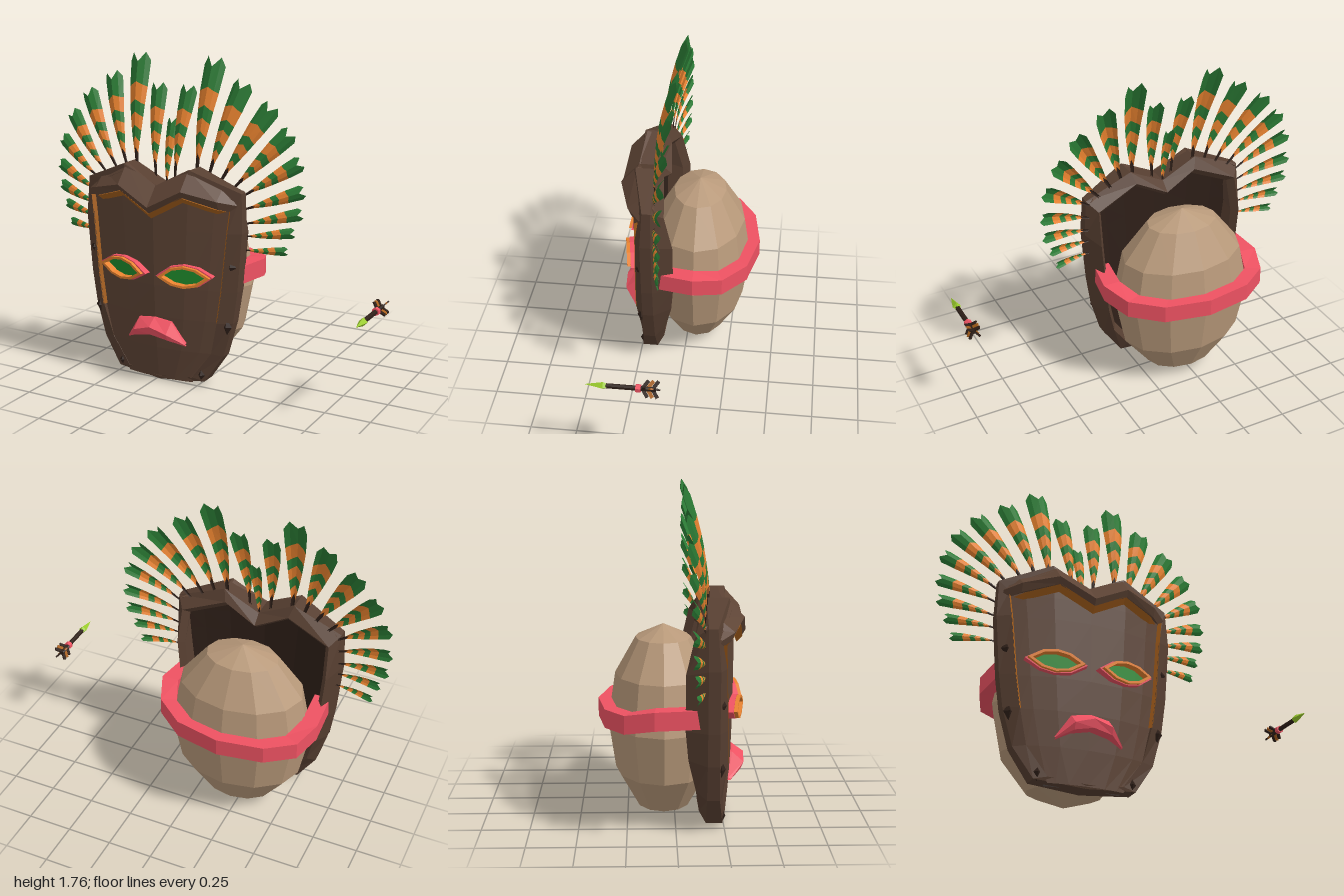
import * as THREE from 'three';

const mat = (color) => new THREE.MeshStandardMaterial({ color, flatShading: true, side: THREE.DoubleSide });
const M = {
  wood: mat(0x5e4435), rim: mat(0x573f31), dark: mat(0x2e1f18), green: mat(0x2a7a34), orange: mat(0xe8822f),
  paint: mat(0xa8601c), pink: mat(0xee5262), head: mat(0xb8997a), eye: mat(0x1f8a2c), lime: mat(0x9acb2c),
};

function add(parent, name, geo, material, x = 0, y = 0, z = 0) {
  const m = new THREE.Mesh(geo, material);
  m.name = name;
  m.position.set(x, y, z);
  parent.add(m);
  return m;
}

// Surface through rows of points; closeU joins each row's ends, closeV joins last row to first
function skin(rows, closeU = false, closeV = false) {
  const n = rows[0].length, idx = [];
  const R = rows.length - (closeV ? 0 : 1), C = n - (closeU ? 0 : 1);
  for (let i = 0; i < R; i++) for (let j = 0; j < C; j++) {
    const i2 = (i + 1) % rows.length, j2 = (j + 1) % n;
    const a = i * n + j, b = i * n + j2, c = i2 * n + j2, d = i2 * n + j;
    idx.push(a, b, c, a, c, d);
  }
  const g = new THREE.BufferGeometry();
  g.setAttribute('position', new THREE.Float32BufferAttribute(rows.flat(2), 3));
  g.setIndex(idx);
  const out = g.toNonIndexed();
  out.computeVertexNormals();
  return out;
}

// Piecewise-linear lookup
function lerpTable(t, table) {
  let k = 0;
  while (k < table.length - 2 && t > table[k + 1][0]) k++;
  const [a, b] = [table[k], table[k + 1]];
  return a[1] + (b[1] - a[1]) * THREE.MathUtils.clamp((t - a[0]) / (b[0] - a[0]), 0, 1);
}

// Half-stations from centre outwards, mirrored to a full span
const mirror = (half, f) => [...half.slice(1).reverse().map((s) => f(s, -1)), ...half.map((s) => f(s, 1))];

const crown = [[0, 1.1], [0.2, 1.2], [0.45, 1.09]];
const faceZ = (x, y) => lerpTable(y, [[0, 0.265], [0.3, 0.295], [0.56, 0.305], [1, 0.31]]) - 0.5 * x * x;
const faceW = [[0.02, 0.2], [0.2, 0.31], [0.385, 0.355], [0.56, 0.38], [0.88, 0.41], [1.0, 0.425]];

function maskShell(g) {
  // Rim: outer x, y, inner x, y, back z, front z; the back edge is drawn in towards the middle
  const half = [
    [0, 1.1, 0, 1.02, 0.1, 0.27], [0.2, 1.2, 0.18, 1.11, 0.12, 0.27], [0.47, 1.09, 0.42, 1.03, 0.09, 0.2],
    [0.48, 0.88, 0.41, 0.88, 0.045, 0.215], [0.455, 0.56, 0.38, 0.56, 0.045, 0.215], [0.43, 0.385, 0.355, 0.385, 0.06, 0.215],
    [0.375, 0.19, 0.31, 0.2, 0.1, 0.22], [0.27, 0.035, 0.2, 0.05, 0.12, 0.24], [0, 0.01, 0, 0.03, 0.12, 0.262],
  ];
  const inset = (v, k) => 0.6 + (v - 0.6) * k;
  const loop = (s) => ([x, y, ix, iy, b, f]) => [
    [s * x * 0.9, inset(y, 0.9), b], [s * x, y, 0.155], [s * x, y, f],
    [s * ix, iy, faceZ(ix, iy) + (iy > 0.3 && iy < 1 ? 0.025 : 0.002)], [s * x * 0.84, inset(y, 0.84), b + 0.04]];
  const rows = [...half.map(loop(1)), ...half.slice(1, -1).reverse().map(loop(-1))];
  add(g, 'maskRim', skin(rows, true, true), M.rim);

  // Curved face plate with a dark lining behind it
  const us = [-1, -0.8, -0.47, 0, 0.47, 0.8, 1];
  const face = faceW.map(([y, w]) => us.map((u) => [u * w, y, faceZ(u * w, y)]));
  face.push(us.map((u) => [u * 0.425, lerpTable(Math.abs(u * 0.425), crown) - 0.04, faceZ(u * 0.425, 1)]));
  add(g, 'facePlate', skin(face), M.wood);
  add(g, 'maskLining', skin(face), M.dark, 0, 0, -0.055);

  for (const s of [-1, 1]) {
    // Painted lines along the inner wall of the rim
    const strip = faceW.slice(2).map(([y, w]) =>
      [[s * (w + 0.003), y, faceZ(w, y) + 0.027], [s * (w - 0.012), y, faceZ(w, y) + 0.008]]);
    add(g, 'cheekLine', skin(strip), M.paint);
    // Chips in the rim
    for (const [x, y, z] of [[0.425, 0.7, 0.225], [0.4, 0.365, 0.225], [0.25, 0.07, 0.235]])
      add(g, 'rimChip', new THREE.OctahedronGeometry(1).scale(0.028, 0.045, 0.022), M.dark, s * x, y, z);
  }

  // Brow: x, top y, ridge y, lower y, front z
  const brow = [[0, 1.1, 1.0, 0.965, 0.37], [0.19, 1.2, 1.1, 1.065, 0.35], [0.37, 1.13, 1.055, 1.01, 0.29], [0.45, 1.09, 1.03, 0.985, 0.22]];
  add(g, 'brow', skin(mirror(brow, ([x, t, r, l, z], s) =>
    [[s * x, t - 0.02, 0.16], [s * x, t, z - 0.09], [s * x, r, z], [s * x, l, z - 0.02], [s * x, l + 0.01, z - 0.07]]), true), M.wood);
  add(g, 'browPaint', skin(mirror(brow, ([x, , , l, z], s) =>
    [[s * x * 0.95, l, z - 0.016], [s * x * 0.95, l - 0.032, z - 0.045], [s * x * 0.95, l, z - 0.06]]), true), M.paint);
}

function almond(w, h, Type = THREE.Shape) {
  return new Type([[-w, 0], [-w * 0.5, h * 0.8], [0, h], [w * 0.5, h * 0.75], [w, 0], [w * 0.5, -h * 0.8], [0, -h], [-w * 0.5, -h * 0.75]]
    .map(([x, y]) => new THREE.Vector2(x, y)));
}

function eyeRing(w, h, iw, ih, depth) {
  const s = almond(w, h);
  s.holes.push(almond(iw, ih, THREE.Path));
  return new THREE.ExtrudeGeometry(s, { depth, bevelEnabled: false });
}

function features(g) {
  for (const s of [-1, 1]) {
    const eye = new THREE.Group();
    eye.name = s > 0 ? 'leftEye' : 'rightEye';
    eye.position.set(s * 0.182, 0.635, 0.27);
    eye.rotation.set(0, s * 0.18, s * 0.05);
    add(eye, 'outerLid', eyeRing(0.16, 0.064, 0.138, 0.055, 0.045), M.pink);
    add(eye, 'innerLid', eyeRing(0.146, 0.06, 0.122, 0.047, 0.064), M.orange);
    add(eye, 'eyeball', new THREE.ExtrudeGeometry(almond(0.14, 0.052), { depth: 0.025, bevelEnabled: false }), M.eye);
    g.add(eye);
  }
  // Lips: x, then (y, z) of top, ridge, lower edge
  const lips = [[0, 0.38, 0.31, 0.34, 0.365, 0.295, 0.355], [0.1, 0.365, 0.3, 0.31, 0.36, 0.275, 0.345], [0.178, 0.25, 0.275, 0.243, 0.29, 0.235, 0.285]];
  add(g, 'lips', skin(mirror(lips, ([x, a, az, b, bz, c, cz], s) =>
    [[s * x, a, az], [s * x, b, bz], [s * x, c, cz], [s * x, c, 0.26], [s * x, a, 0.26]]), true), M.pink);
}

// Feather with chevron bands, edges rolled back and the tip bending backwards
function feather(g, bx, by, tx, ty, width, z0) {
  const L = Math.hypot(tx - bx, ty - by);
  const f = new THREE.Group();
  f.name = 'feather';
  f.position.set(bx, by, z0);
  f.rotation.z = Math.atan2(-(tx - bx), ty - by);
  const us = [-1, -0.62, 0, 0.62, 1];
  const tip = [0.92, 1, 0.92, 1, 0.92];
  const stops = [-0.08, 0.1, 0.2, 0.3, 0.42, 0.53, 0.69, 1];
  const mats = [M.dark, M.orange, M.green, M.orange, M.green, M.orange, M.green];
  const row = (t) => us.map((u, k) => {
    const v = t === 1 ? tip[k] : t + 0.055 * (1 - Math.abs(u));
    const w = width * 0.5 * lerpTable(t === 1 ? 0.9 : t, [[-0.1, 0.12], [0.1, 0.18], [0.35, 0.55], [0.75, 0.95], [0.9, 1]]);
    return [u * w, v * L, -0.19 * L * Math.max(v, 0) ** 2 - u * u * w * 0.6];
  });
  mats.forEach((m, i) => add(f, i ? 'featherBand' : 'featherStem', skin([row(stops[i]), row(stops[i + 1])]), m));
  g.add(f);
}

function plumage(g) {
  const half = [
    [0.06, 1.15, 0.093, 1.615, 0.1], [0.185, 1.18, 0.23, 1.765, 0.125], [0.26, 1.18, 0.405, 1.65, 0.115],
    [0.33, 1.15, 0.57, 1.54, 0.11], [0.41, 1.12, 0.68, 1.41, 0.1], [0.47, 1.08, 0.745, 1.26, 0.085],
    [0.47, 1.0, 0.765, 1.11, 0.075], [0.47, 0.92, 0.758, 0.99, 0.068], [0.465, 0.85, 0.72, 0.885, 0.058], [0.46, 0.775, 0.685, 0.783, 0.048],
  ];
  feather(g, 0, 1.08, 0, 1.435, 0.068, 0.165);
  for (const s of [-1, 1]) for (const [bx, by, tx, ty, w] of half) feather(g, s * bx, by, s * tx, ty, w, 0.185 - 0.1 * bx);
}

function headAndBand(g) {
  add(g, 'head', new THREE.SphereGeometry(1, 12, 6).scale(0.4, 0.514, 0.29), M.head, 0, 0.52, -0.06);
  // Strap round the back: x, z, centre height
  const path = [[-0.44, 0.13, 0.63], [-0.455, -0.11, 0.625], [-0.4, -0.26, 0.595], [-0.25, -0.36, 0.59], [0, -0.4, 0.59],
    [0.25, -0.345, 0.59], [0.41, -0.22, 0.6], [0.475, -0.065, 0.63], [0.44, 0.13, 0.63]];
  add(g, 'strap', skin(path.map(([x, z, y]) => {
    const k = 0.8, zi = -0.06 + (z + 0.06) * (z < 0 ? k : 1);
    return [[x, y - 0.048, z], [x, y + 0.048, z], [x * k, y + 0.048, zi], [x * k, y - 0.048, zi]];
  }), true), M.pink);
}

function dart(root) {
  const d = new THREE.Group();
  d.name = 'dart';
  d.position.set(0.962, 0.55, 0);
  const alongZ = (g) => g.rotateX(Math.PI / 2);
  add(d, 'dartTip', alongZ(new THREE.ConeGeometry(0.023, 0.095, 4)), M.lime, 0, 0, 0.345);
  add(d, 'dartTipBase', alongZ(new THREE.CylinderGeometry(0.023, 0.011, 0.022, 4)), M.lime, 0, 0, 0.287);
  add(d, 'dartShaft', alongZ(new THREE.CylinderGeometry(0.013, 0.013, 0.25, 6)), M.dark, 0, 0, 0.16);
  add(d, 'dartCollar', alongZ(new THREE.CylinderGeometry(0.021, 0.021, 0.026, 6)), M.pink, 0, 0, 0.122);
  // Flared fins in a cross
  for (let i = 0; i < 4; i++) {
    const a = Math.PI / 4 + i * Math.PI / 2;
    for (const [z, m] of [[0.085, M.dark], [0.06, M.paint], [0.035, M.dark]]) {
      const fin = add(d, 'dartFin', new THREE.BoxGeometry(0.04, 0.008, 0.018).rotateY(0.6), m,
        Math.cos(a) * 0.025, Math.sin(a) * 0.025, z);
      fin.rotation.z = a;
    }
  }
  root.add(d);
}

export function createModel() {
  const root = new THREE.Group();
  root.name = 'tribalMask';
  const mask = new THREE.Group();
  mask.name = 'maskedHead';
  mask.position.x = -0.23;
  maskShell(mask);
  features(mask);
  plumage(mask);
  headAndBand(mask);
  root.add(mask);
  dart(root);
  return root;
}
